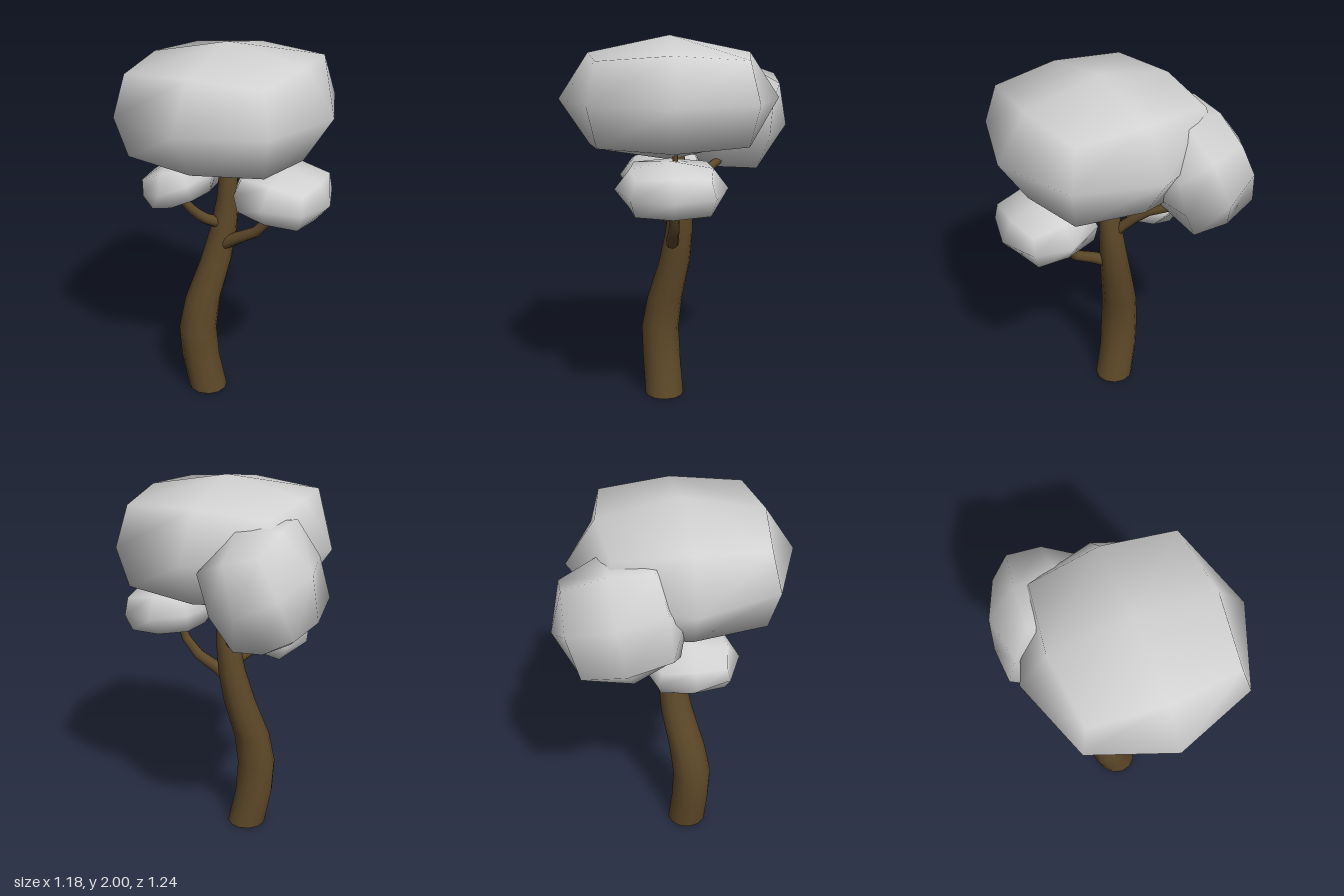
import * as THREE from 'three';
import { mergeVertices, toCreasedNormals } from 'three/addons/utils/BufferGeometryUtils.js';

const mat = (name, color) => Object.assign(new THREE.MeshStandardMaterial({ color }), { name });

// Rounded foliage lump: a once-subdivided cube pulled in at its edges and corners
function blobGeometry(rx, ry, rz) {
  let geo = new THREE.BoxGeometry(2, 2, 2, 2, 2, 2);
  geo.deleteAttribute('normal');
  geo.deleteAttribute('uv');
  geo.clearGroups();
  geo = mergeVertices(geo);
  const p = geo.attributes.position;
  const pull = [0, 1, 0.73, 0.65];
  const v = new THREE.Vector3();
  for (let i = 0; i < p.count; i++) {
    v.fromBufferAttribute(p, i);
    const outer = v.toArray().filter((c) => Math.abs(c) > 0.5).length;
    v.multiplyScalar(pull[outer]);
    p.setXYZ(i, v.x * rx, v.y * ry, v.z * rz);
  }
  geo.computeVertexNormals();
  return geo;
}

// Bent, open-ended trunk: each ring of a cylinder is moved to [x, y, z, radius]
function trunkGeometry(rings, sides) {
  const n = rings.length - 1;
  const geo = new THREE.CylinderGeometry(1, 1, 1, sides, n, true);
  const p = geo.attributes.position;
  for (let i = 0; i < p.count; i++) {
    const [x, y, z, r] = rings[Math.round((p.getY(i) + 0.5) * n)];
    p.setXYZ(i, x + p.getX(i) * r, y, z + p.getZ(i) * r);
  }
  return toCreasedNormals(geo, 0.9);
}

// Branch: a tube narrowed towards its tip
function branchGeometry(points, r0, r1) {
  const curve = new THREE.CatmullRomCurve3(points.map((a) => new THREE.Vector3(...a)));
  const segs = 6, sides = 8;
  const geo = new THREE.TubeGeometry(curve, segs, 1, sides, false);
  const p = geo.attributes.position;
  const v = new THREE.Vector3();
  for (let i = 0; i < p.count; i++) {
    const t = Math.floor(i / (sides + 1)) / segs;
    const c = curve.getPointAt(t);
    v.fromBufferAttribute(p, i).sub(c).multiplyScalar(r0 + (r1 - r0) * t).add(c);
    p.setXYZ(i, v.x, v.y, v.z);
  }
  return geo;
}

export function createModel() {
  const group = new THREE.Group();
  group.name = 'tree';
  const leaves = mat('pale foliage', 0xd2d2d2);
  const bark = mat('brown bark', 0x5e4929);
  bark.side = THREE.DoubleSide;

  const add = (name, geo, material) => {
    const mesh = new THREE.Mesh(geo, material);
    mesh.name = name;
    group.add(mesh);
    return mesh;
  };

  // Trunk
  add('trunk', trunkGeometry([
    [-0.094, 0, 0.074, 0.107],
    [-0.132, 0.2, 0.087, 0.105],
    [-0.143, 0.38, 0.094, 0.104],
    [-0.123, 0.56, 0.068, 0.097],
    [-0.068, 0.78, 0.018, 0.085],
    [-0.033, 0.96, -0.005, 0.073],
    [-0.008, 1.15, -0.012, 0.06],
    [-0.002, 1.3, 0, 0.046],
    [0, 1.42, 0.01, 0.034],
  ], 12), bark);

  // Branches
  add('leftBranch', branchGeometry(
    [[-0.02, 0.89, 0.03], [0.07, 0.945, 0.035], [0.2, 1.02, 0.035], [0.275, 1.14, 0.035], [0.3, 1.43, 0.035]],
    0.037, 0.013), bark);
  add('rightBranch', branchGeometry(
    [[-0.03, 1.01, 0.01], [-0.08, 1.035, 0.07], [-0.14, 1.1, 0.13], [-0.2, 1.2, 0.18]],
    0.034, 0.02), bark);
  add('backBranch', branchGeometry(
    [[-0.02, 1.1, -0.02], [-0.08, 1.2, -0.09], [-0.15, 1.28, -0.17], [-0.23, 1.32, -0.25], [-0.33, 1.38, -0.31]],
    0.03, 0.018), bark);

  // Foliage: name, centre, radii, tilt
  const blobs = [
    ['crownFoliage', [0.022, 1.68, 0.048], [0.565, 0.32, 0.571], [0, 0, 0.012]],
    ['leftFoliage', [0.34, 1.267, 0.055], [0.252, 0.14, 0.283], [0, 0, -0.12]],
    ['rightFoliage', [-0.245, 1.232, 0.06], [0.193, 0.128, 0.25], [0, 0, 0.36]],
    ['backFoliage', [-0.32, 1.56, -0.29], [0.268, 0.325, 0.335], [-0.19, -0.08, -0.38]],
  ];
  for (const [name, centre, radii, tilt] of blobs) {
    const mesh = add(name, blobGeometry(...radii), leaves);
    mesh.position.set(...centre);
    mesh.rotation.set(...tilt);
  }
  return group;
}
